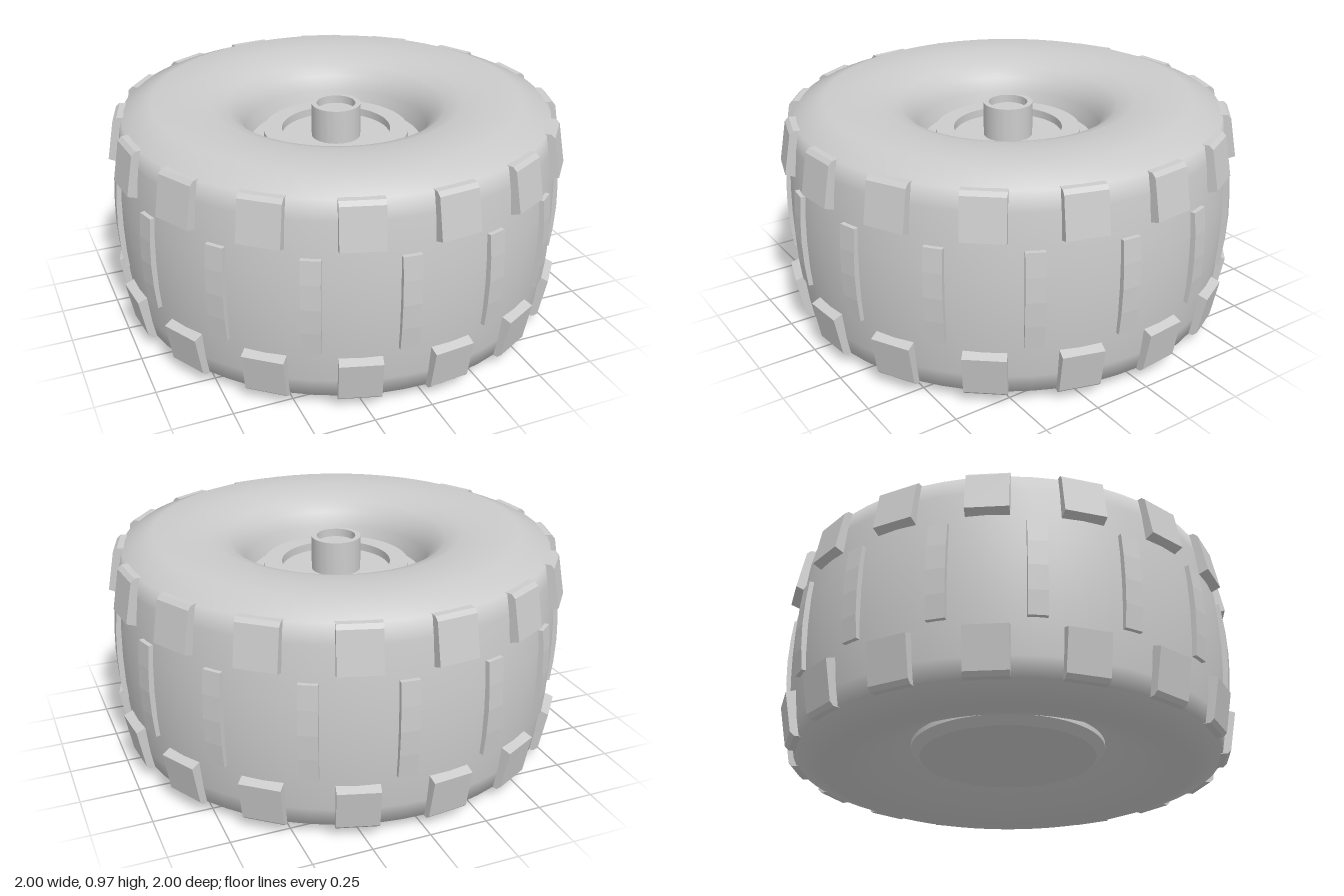
import * as THREE from 'three';
import { toCreasedNormals } from 'three/addons/utils/BufferGeometryUtils.js';

const COUNT = 16;
const STEP = (Math.PI * 2) / COUNT;
const MID = 0.486; // mid height of the tyre

export function createModel() {
  const wheel = new THREE.Group();
  wheel.name = 'wheel';
  const material = new THREE.MeshStandardMaterial({ color: 0xcccccc });
  const vectors = (points) => points.map(([x, y]) => new THREE.Vector2(x, y));

  function add(name, geometry, angle = 0) {
    const mesh = new THREE.Mesh(geometry, material);
    mesh.name = name;
    mesh.rotation.y = angle;
    wheel.add(mesh);
  }

  // Tyre carcass: bottom dish, rounded tread, deeper top dish
  add('tyre', new THREE.LatheGeometry(vectors([
    [0.38, 0.17], [0.43, 0.14], [0.5, 0.1], [0.6, 0.045], [0.7, 0.012], [0.8, 0],
    [0.93, 0.05], [0.945, 0.13], [0.957, 0.24], [0.967, 0.36], [0.97, MID],
    [0.967, 0.61], [0.957, 0.73], [0.945, 0.84], [0.93, 0.922],
    [0.8, 0.972], [0.65, 0.966], [0.55, 0.955], [0.48, 0.93], [0.43, 0.89],
    [0.4, 0.83], [0.375, 0.73],
  ]), 64));

  // Hub: chamfered cap below, disc with raised ring and hollow axle socket above
  const hub = new THREE.LatheGeometry(vectors([
    [0, 0.085], [0.39, 0.085], [0.43, 0.118], [0.43, 0.17], [0.38, 0.2],
    [0.38, 0.755], [0.32, 0.755], [0.32, 0.81], [0.24, 0.81], [0.24, 0.775],
    [0.108, 0.775], [0.108, 0.925], [0.085, 0.925], [0.085, 0.89], [0, 0.89],
  ]), 64);
  add('hub', toCreasedNormals(hub, 0.5));

  // Tread block: a radial section given width across the tread
  function block(section, width) {
    const geometry = new THREE.ExtrudeGeometry(new THREE.Shape(vectors(section)), {
      depth: width, bevelEnabled: false,
    });
    return geometry.translate(0, 0, -width / 2);
  }

  const upper = [[0.88, 0.72], [0.95, 0.722], [0.994, 0.738], [0.962, 0.91], [0.945, 0.926], [0.88, 0.926]];
  const lower = upper.map(([r, y]) => [r, 2 * MID - y]).reverse();
  const bar = [
    [0.93, 0.28], [0.978, 0.28], [0.988, 0.38], [0.992, MID],
    [0.988, 0.592], [0.978, 0.692], [0.93, 0.692],
  ];
  const upperLug = block(upper, 0.175);
  const lowerLug = block(lower, 0.175);
  const centreBar = block(bar, 0.078);

  // Shoulder lugs and centre bars sit a quarter step either side of the axis
  for (let i = 0; i < COUNT; i++) {
    const angle = i * STEP - Math.PI / 2;
    add('upperLug', upperLug, angle + STEP / 4);
    add('lowerLug', lowerLug, angle + STEP / 4);
    add('centreBar', centreBar, angle - STEP / 4);
  }
  return wheel;
}
